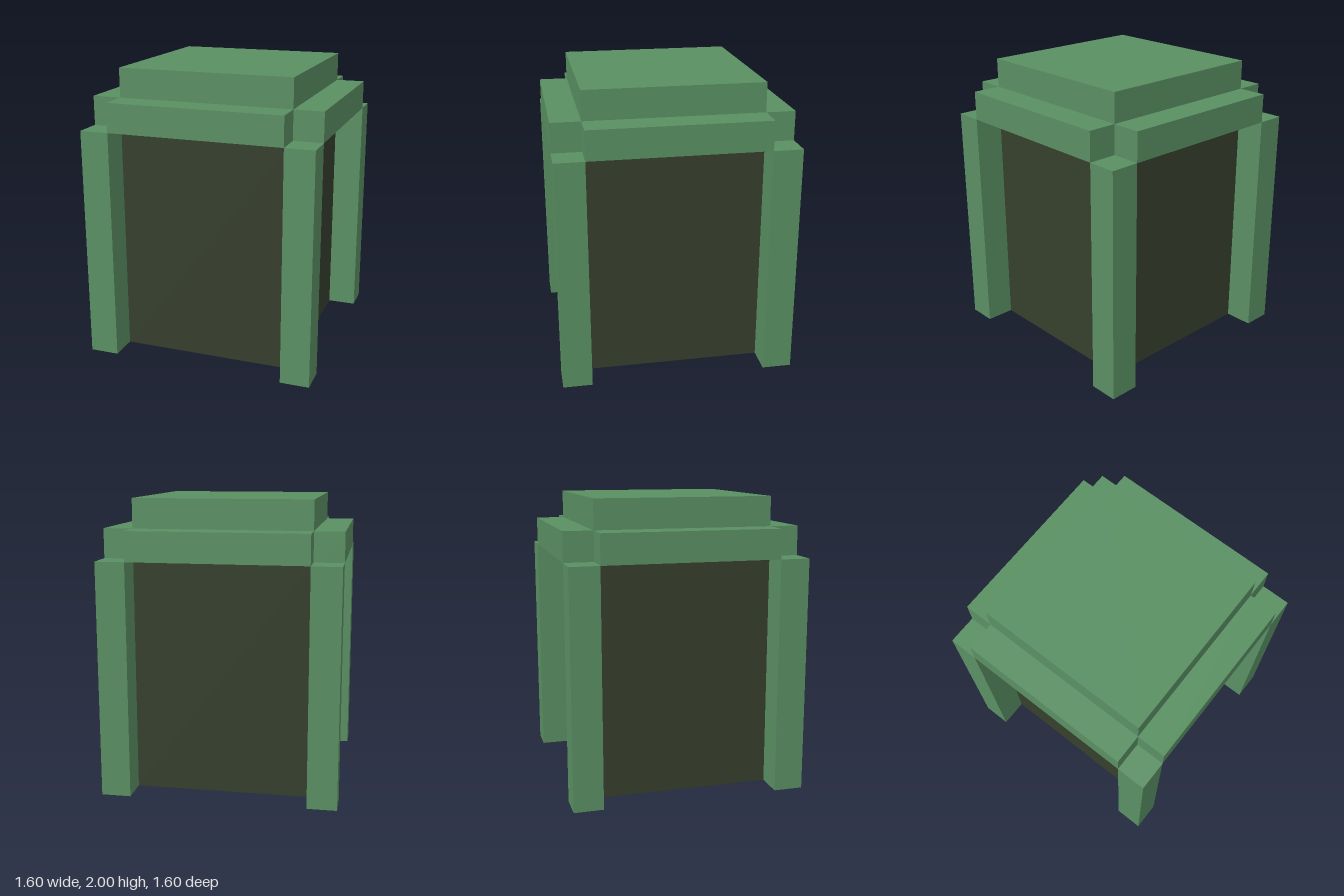
import * as THREE from 'three';

export function createModel() {
  const model = new THREE.Group();
  model.name = 'framedBlock';

  const green = new THREE.MeshStandardMaterial({ name: 'leaf green', color: 0x5a9063 });
  const dark = new THREE.MeshStandardMaterial({ name: 'dark olive', color: 0x363f2d });

  // Adds a box by its size and the centre of its base
  function addBox(name, material, [w, h, d], [x, y, z]) {
    const mesh = new THREE.Mesh(new THREE.BoxGeometry(w, h, d), material);
    mesh.name = name;
    mesh.position.set(x, y + h / 2, z);
    model.add(mesh);
  }

  // Dark core and the raised cap on top of it
  addBox('core', dark, [1.2, 1.6, 1.2], [0, 0, 0]);
  addBox('cap', green, [1.2, 0.4, 1.2], [0, 1.6, 0]);

  for (const s of [-1, 1]) {
    // Corner posts
    for (const t of [-1, 1]) addBox('cornerPost', green, [0.2, 1.6, 0.2], [s * 0.7, 0, t * 0.7]);
    // Beams around the cap
    addBox('sideBeam', green, [0.2, 0.2, 1.2], [s * 0.7, 1.6, 0]);
    addBox(s > 0 ? 'frontBeam' : 'backBeam', green, [1.2, 0.2, 0.2], [0, 1.6, s * 0.7]);
  }

  return model;
}
